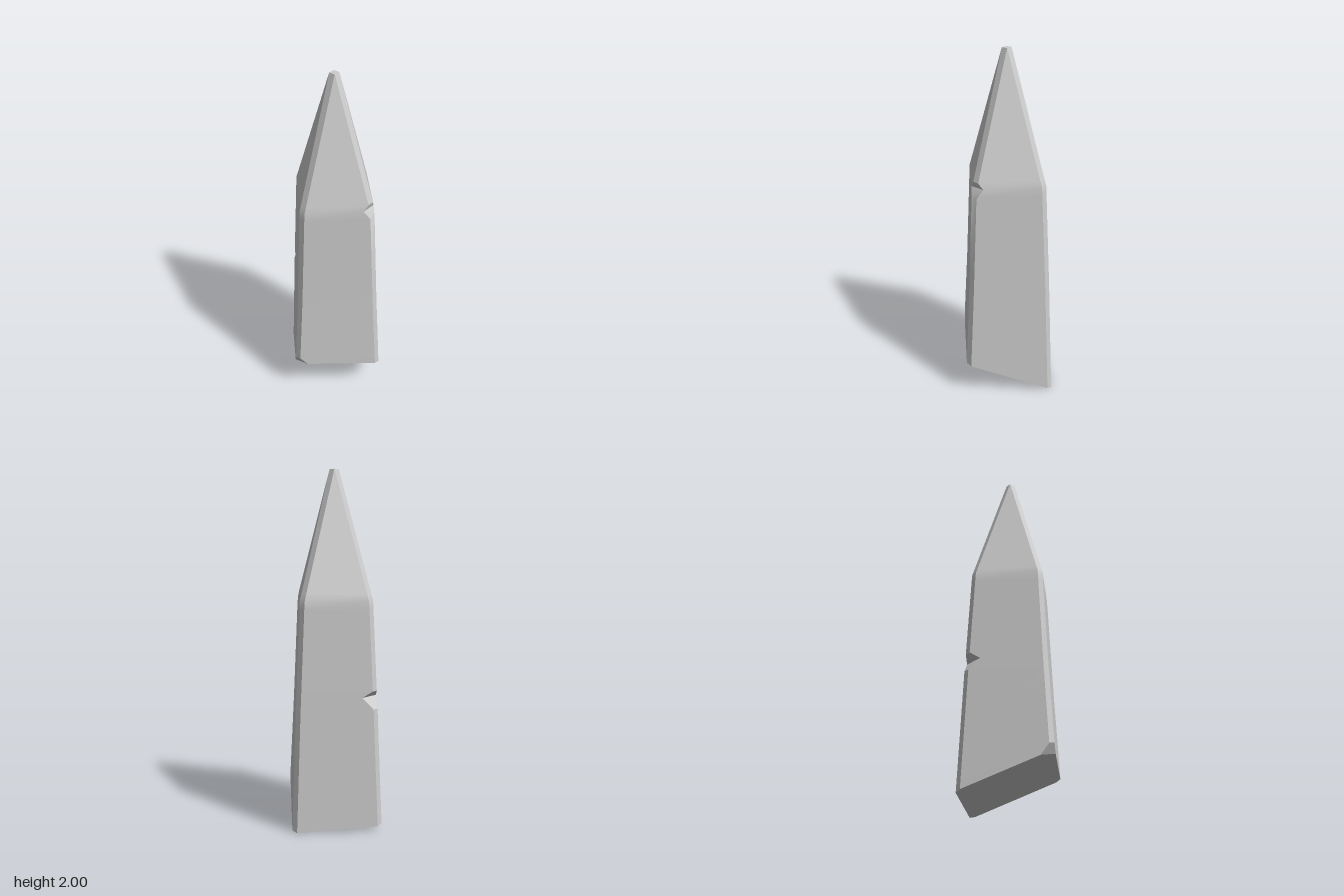
import * as THREE from 'three';
import { toCreasedNormals } from 'three/addons/utils/BufferGeometryUtils.js';

const BEVEL = 0.025;
const SHOULDER = 1.285;

// Half width of the square shaft at a height: gentle taper, then a steep point
function halfWidth(y) {
  return y < SHOULDER
    ? THREE.MathUtils.mapLinear(y, 0.12, SHOULDER, 0.25, 0.2)
    : THREE.MathUtils.mapLinear(y, SHOULDER, 2, 0.2, BEVEL + 0.0005);
}

// Corners counter-clockwise from above: front left, back left, back right, front right
const CORNERS = [[1, 1], [1, -1], [-1, -1], [-1, 1]];

// Square ring with bevelled corners; cuts = bevel width per corner
function ring(y, cuts = {}, slanted = false) {
  const points = [];
  CORNERS.forEach(([sx, sz], k) => {
    const c = cuts[k] ?? BEVEL;
    const h = halfWidth(y);
    const pair = [[sx * (h - c), sz * h], [sx * h, sz * (h - c)]];
    if (sx * sz < 0) pair.reverse();
    for (const [x, z] of pair) {
      points.push(new THREE.Vector3(x, slanted ? y + 0.4 * z - 0.06 * x : y, z));
    }
  });
  return points;
}

function loft(rings) {
  const positions = [];
  const tri = (...corners) => corners.forEach((p) => positions.push(p.x, p.y, p.z));
  const n = rings[0].length;
  for (let r = 0; r < rings.length - 1; r++) {
    const a = rings[r], b = rings[r + 1];
    for (let i = 0; i < n; i++) {
      const j = (i + 1) % n;
      tri(a[i], a[j], b[j]);
      tri(a[i], b[j], b[i]);
    }
  }
  // End caps
  const bottom = rings[0], top = rings[rings.length - 1];
  for (let i = 1; i < n - 1; i++) {
    tri(bottom[0], bottom[i + 1], bottom[i]);
    tri(top[0], top[i], top[i + 1]);
  }
  const geometry = new THREE.BufferGeometry();
  geometry.setAttribute('position', new THREE.Float32BufferAttribute(positions, 3));
  return toCreasedNormals(geometry, 0.45);
}

export function createModel() {
  const group = new THREE.Group();
  group.name = 'obelisk';

  const geometry = loft([
    // Slanted foot with a chipped front right corner
    ring(0.115, { 3: 0.07 }, true),
    ring(0.16, {}, true),
    // Notch in the back right edge
    ring(0.69),
    ring(0.755, { 2: 0.085 }),
    ring(0.79),
    // Notch in the front left edge, at the shoulder
    ring(1.235),
    ring(SHOULDER, { 0: 0.06 }),
    ring(1.32),
    // Blunt tip
    ring(2),
  ]);
  const shaft = new THREE.Mesh(geometry, new THREE.MeshStandardMaterial({ color: 0xcccccc }));
  shaft.name = 'shaft';
  group.add(shaft);
  return group;
}
